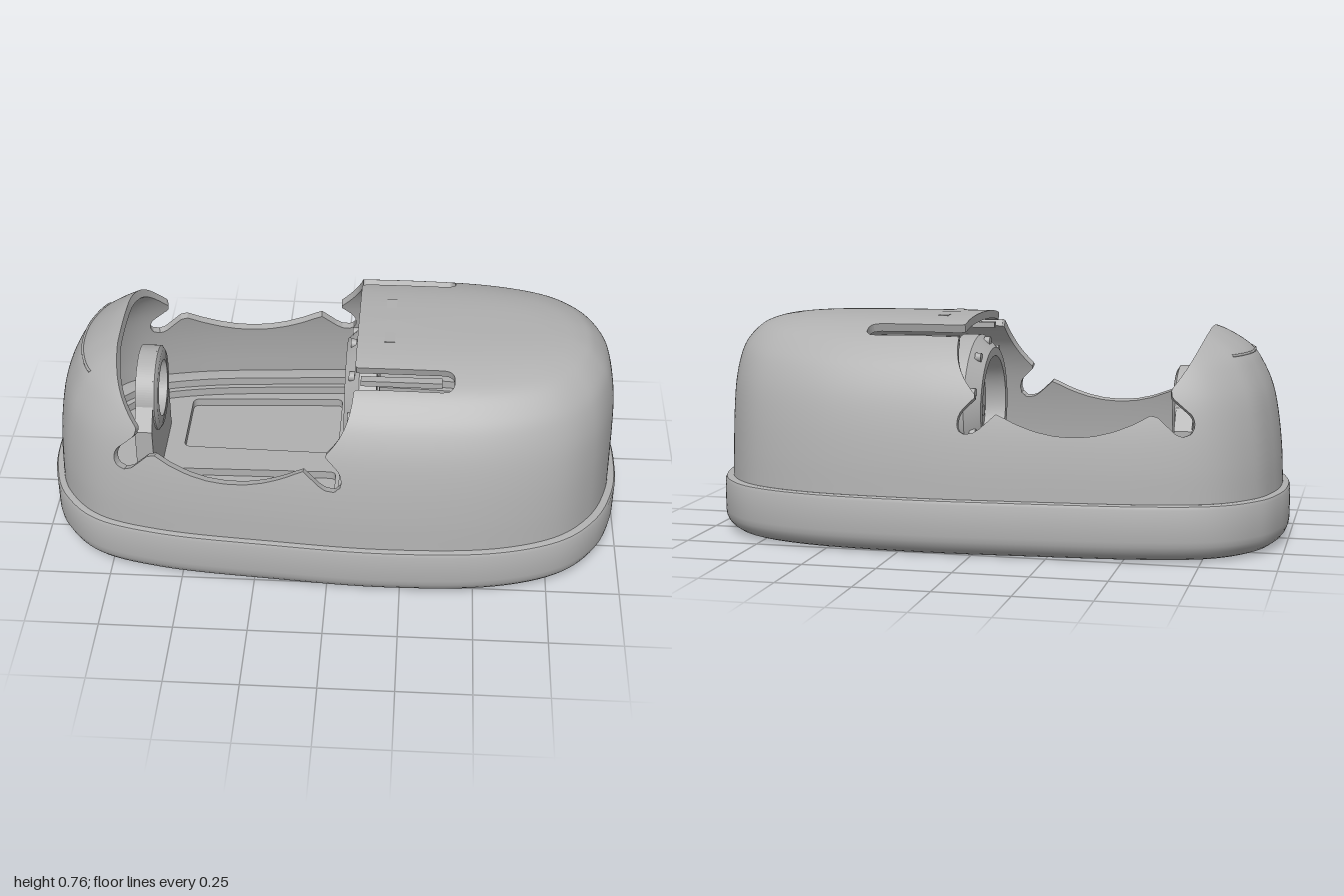
import * as THREE from 'three';
import { toCreasedNormals } from 'three/addons/utils/BufferGeometryUtils.js';

const N = 240; // points around the plan outline
const V = (x, y, z) => new THREE.Vector3(x, y, z);

// Unit plan outline, starting at +x and running through +z
const half = [[1, 0], [0.985, 0.165], [0.915, 0.335], [0.79, 0.455], [0.57, 0.53], [0.2, 0.555],
  [-0.2, 0.533], [-0.58, 0.495], [-0.8, 0.432], [-0.93, 0.305], [-0.985, 0.155], [-1, 0]];
const loop = [...half, ...half.slice(1, -1).reverse().map(([x, z]) => [x, -z])];
const outline = new THREE.CatmullRomCurve3(loop.map(([x, z]) => V(x, 0, z / 0.555)), true)
  .getSpacedPoints(N).slice(0, N);
const ring = (y, xl, xr, w) =>
  outline.map(p => V((xl + xr) / 2 + p.x * (xr - xl) / 2, y, p.z * w));
const insetRing = (y, d) => ring(y, d - 1, 1 - d, 0.555 - d);

// Skin a stack of rings
function skin(rows) {
  const index = [];
  for (let j = 0; j < rows.length - 1; j++) for (let i = 0; i < N; i++) {
    const k = (i + 1) % N, a = j * N + i, b = j * N + k;
    index.push(a, a + N, b, b, a + N, b + N);
  }
  const g = new THREE.BufferGeometry().setFromPoints(rows.flat());
  g.setIndex(index);
  g.computeVertexNormals();
  return g;
}

// Side profile of the big opening
const opening = new THREE.Shape();
opening.moveTo(-0.74, 0.95);
opening.lineTo(-0.73, 0.72);
opening.quadraticCurveTo(-0.70, 0.63, -0.64, 0.555);
opening.lineTo(-0.645, 0.53);
opening.lineTo(-0.71, 0.475);
opening.quadraticCurveTo(-0.73, 0.44, -0.71, 0.415);
opening.quadraticCurveTo(-0.68, 0.395, -0.655, 0.42);
opening.lineTo(-0.59, 0.48);
opening.quadraticCurveTo(-0.34, 0.325, -0.08, 0.47);
opening.lineTo(-0.02, 0.415);
opening.quadraticCurveTo(0.02, 0.39, 0.045, 0.415);
opening.quadraticCurveTo(0.055, 0.46, 0.03, 0.485);
opening.lineTo(-0.01, 0.525);
opening.quadraticCurveTo(0.07, 0.6, 0.08, 0.7);
opening.lineTo(0.085, 0.95);
const poly = opening.getPoints(8);

// Signed distance to the opening, positive outside
function openingDistance(x, y) {
  let d = Infinity, inside = false;
  poly.forEach((a, i) => {
    const b = poly[(i + 1) % poly.length], ex = b.x - a.x, ey = b.y - a.y;
    const t = THREE.MathUtils.clamp(((x - a.x) * ex + (y - a.y) * ey) / (ex * ex + ey * ey || 1), 0, 1);
    d = Math.min(d, Math.hypot(x - a.x - t * ex, y - a.y - t * ey));
    if ((a.y > y) !== (b.y > y) && x < a.x + ex * (y - a.y) / ey) inside = !inside;
  });
  return inside ? -d : d;
}
// Signed distance to the pair of rounded slots in the roof
function slotDistance(x, y, z) {
  if (y < 0.5) return 1;
  const r = 0.03, qx = Math.abs(x - 0.205) - 0.205 + r, qz = Math.abs(Math.abs(z) - 0.295) - 0.04 + r;
  return Math.hypot(Math.max(qx, 0), Math.max(qz, 0)) + Math.min(Math.max(qx, qz), 0) - r;
}

// Shell levels: [y, left end, right end, half width]
const levels = [[0.17, -0.975, 0.972, 0.535], [0.3, -0.97, 0.97, 0.523], [0.42, -0.957, 0.968, 0.503],
  [0.52, -0.937, 0.963, 0.475], [0.6, -0.903, 0.95, 0.437], [0.655, -0.865, 0.93, 0.395],
  [0.7, -0.8, 0.892, 0.345], [0.727, -0.735, 0.85, 0.285], [0.746, -0.62, 0.775, 0.21],
  [0.756, -0.35, 0.62, 0.12], [0.76, 0.2, 0.2, 0]];

function shellRows() {
  const ends = new THREE.CatmullRomCurve3(levels.map(l => V(l[1], l[2], l[3])), false, 'catmullrom');
  const heights = new THREE.CatmullRomCurve3(levels.map(l => V(l[0], 0, 0)), false, 'catmullrom');
  return Array.from({ length: 81 }, (_, j) => {
    const e = ends.getPoint(j / 80);
    return ring(heights.getPoint(j / 80).x, e.x, e.y, e.z);
  });
}

// Outer wall, inner wall and cut rim, all trimmed by the same openings
function shellGeometries(rows, thickness) {
  const g = skin(rows), P = g.attributes.position, Q = g.attributes.normal, idx = g.index.array;
  const verts = Array.from({ length: P.count }, (_, i) => {
    const p = V().fromBufferAttribute(P, i), n = V().fromBufferAttribute(Q, i);
    return { p, n, f: Math.min(openingDistance(p.x, p.y), slotDistance(p.x, p.y, p.z)) };
  });
  const inner = v => v.p.clone().addScaledVector(v.n, -thickness);
  const out = { p: [], n: [] }, inn = { p: [], n: [] }, rim = [];
  for (let i = 0; i < idx.length; i += 3) {
    const tri = [0, 1, 2].map(k => verts[idx[i + k]]), keep = [];
    let leave, enter;
    tri.forEach((a, k) => {
      const b = tri[(k + 1) % 3];
      if (a.f > 0) keep.push(a);
      if ((a.f > 0) !== (b.f > 0)) {
        const t = a.f / (a.f - b.f);
        const c = { p: a.p.clone().lerp(b.p, t), n: a.n.clone().lerp(b.n, t).normalize() };
        keep.push(c);
        if (a.f > 0) leave = c; else enter = c;
      }
    });
    for (let k = 1; k < keep.length - 1; k++) {
      const t = [keep[0], keep[k], keep[k + 1]];
      t.forEach(v => { out.p.push(v.p); out.n.push(...v.n); });
      t.reverse().forEach(v => { inn.p.push(inner(v)); inn.n.push(-v.n.x, -v.n.y, -v.n.z); });
    }
    if (leave && enter) rim.push(enter.p, leave.p, inner(leave), enter.p, inner(leave), inner(enter));
  }
  const wall = s => new THREE.BufferGeometry().setFromPoints(s.p)
    .setAttribute('normal', new THREE.Float32BufferAttribute(s.n, 3));
  const rimG = new THREE.BufferGeometry().setFromPoints(rim);
  rimG.computeVertexNormals();
  return [wall(out), wall(inn), rimG];
}

export function createModel() {
  const model = new THREE.Group();
  const grey = new THREE.MeshStandardMaterial({ color: 0xb0b0b0 });
  grey.name = 'grey';
  const add = (name, geometry, x = 0, y = 0, z = 0) => {
    const m = new THREE.Mesh(geometry, grey);
    m.name = name;
    m.position.set(x, y, z);
    model.add(m);
    return m;
  };
  const axle = (r, h) => new THREE.CylinderGeometry(r, r, h, 32).rotateZ(Math.PI / 2);
  const extrude = (shape, depth) =>
    new THREE.ExtrudeGeometry(shape, { depth, bevelEnabled: false, curveSegments: 24 });

  // Base tray: rounded lower edge, stepped ledge and hollow inside
  const base = [[0, 0.555]];
  for (let i = 0; i <= 6; i++) {
    const a = i / 6 * Math.PI / 2;
    base.push([0.07 * (1 - Math.cos(a)), 0.07 * (1 - Math.sin(a))]);
  }
  base.push([0.175, 0], [0.186, 0.005], [0.19, 0.015], [0.19, 0.105], [0.16, 0.105],
    [0.16, 0.125], [0.1, 0.125], [0.1, 0.555]);
  add('baseTray', toCreasedNormals(skin(base.map(([y, d]) => insetRing(y, d))), 0.6));

  // Hollow upper shell
  const rows = shellRows();
  const parts = shellGeometries(rows, 0.028);
  ['shellOuter', 'shellInner', 'shellRim'].forEach((name, i) => add(name, parts[i]));

  // Raised ridges on the low end and on the roof tongue
  const ridgeRow = rows.find(r => r[0].y > 0.645);
  const ridge = ridgeRow.filter((p, i) => outline[i].x < 0 && Math.abs(p.z) < 0.22);
  add('endRidge', new THREE.TubeGeometry(new THREE.CatmullRomCurve3(ridge), 40, 0.005, 6));
  add('roofRidge', new THREE.BoxGeometry(0.035, 0.006, 0.26), 0.19, 0.755, 0);

  // Floor plate with two shallow compartments
  const floor = new THREE.Shape(insetRing(0, 0.125).map(p => new THREE.Vector2(p.x, p.z)));
  for (const s of [-1, 1]) {
    const c = [[-0.56, 0.065], [0.005, 0.055], [0.005, 0.385], [-0.56, 0.355]];
    const corners = c.map(([x, z]) => new THREE.Vector2(x, s * z));
    const hole = new THREE.Path();
    corners.forEach((p, i) => {
      const prev = corners[(i + 3) % 4], next = corners[(i + 1) % 4];
      const a = p.clone().lerp(prev, 0.025 / p.distanceTo(prev));
      const b = p.clone().lerp(next, 0.025 / p.distanceTo(next));
      if (i) hole.lineTo(a.x, a.y); else hole.moveTo(a.x, a.y);
      hole.quadraticCurveTo(p.x, p.y, b.x, b.y);
    });
    hole.closePath();
    floor.holes.push(hole);
    add('slotRail', new THREE.BoxGeometry(0.27, 0.02, 0.03), 0.235, 0.69, s * 0.265);
  }
  add('floorPlate', extrude(floor, 0.03).rotateX(-Math.PI / 2), 0, 0.1, 0);

  // Bearing bracket at the low end
  const bracket = new THREE.Shape();
  bracket.moveTo(-0.2, 0.12);
  bracket.lineTo(0.2, 0.12);
  bracket.lineTo(0.2, 0.39);
  bracket.lineTo(0.15, 0.46);
  bracket.absarc(0, 0.44, 0.15, 0.14, Math.PI - 0.14);
  bracket.lineTo(-0.2, 0.39);
  bracket.holes.push(new THREE.Path().absarc(0, 0.44, 0.1, 0, Math.PI * 2));
  add('bracketPlate', extrude(bracket, 0.06).rotateY(Math.PI / 2), -0.685, 0, 0);
  const lathe = points => toCreasedNormals(new THREE.LatheGeometry(
    points.map(([r, h]) => new THREE.Vector2(r, h)), 48).rotateZ(Math.PI / 2), 0.6);
  add('bracketCollar', lathe([[0.1, -0.01], [0.15, -0.01], [0.15, 0.01], [0.135, 0.02],
    [0.1, 0.02], [0.1, -0.01]]).rotateY(Math.PI), -0.63, 0.44, 0);

  // Drive housing under the roof: flared ring, recessed disc, bolts and foot
  add('driveRing', lathe([[0.175, -0.07], [0.25, -0.07], [0.25, -0.01], [0.205, 0.04],
    [0.175, 0.04], [0.175, -0.07]]), 0.08, 0.43, 0);
  add('driveDisc', axle(0.18, 0.03), 0.13, 0.43, 0);
  add('driveHub', axle(0.05, 0.02), 0.11, 0.43, 0);
  for (let i = 0; i < 10; i++) {
    const a = i * Math.PI / 5, c = Math.cos(a), s = Math.sin(a);
    add('ringBolt', axle(0.016, 0.02), 0.064, 0.43 + 0.227 * c, 0.227 * s);
    if (i % 2) add('discBolt', axle(0.02, 0.012), 0.112, 0.43 + 0.115 * c, 0.115 * s);
  }
  add('driveFoot', new THREE.BoxGeometry(0.1, 0.12, 0.4), 0.1, 0.18, 0);
  add('footPlate', new THREE.BoxGeometry(0.14, 0.03, 0.5), 0.09, 0.145, 0);
  return model;
}
